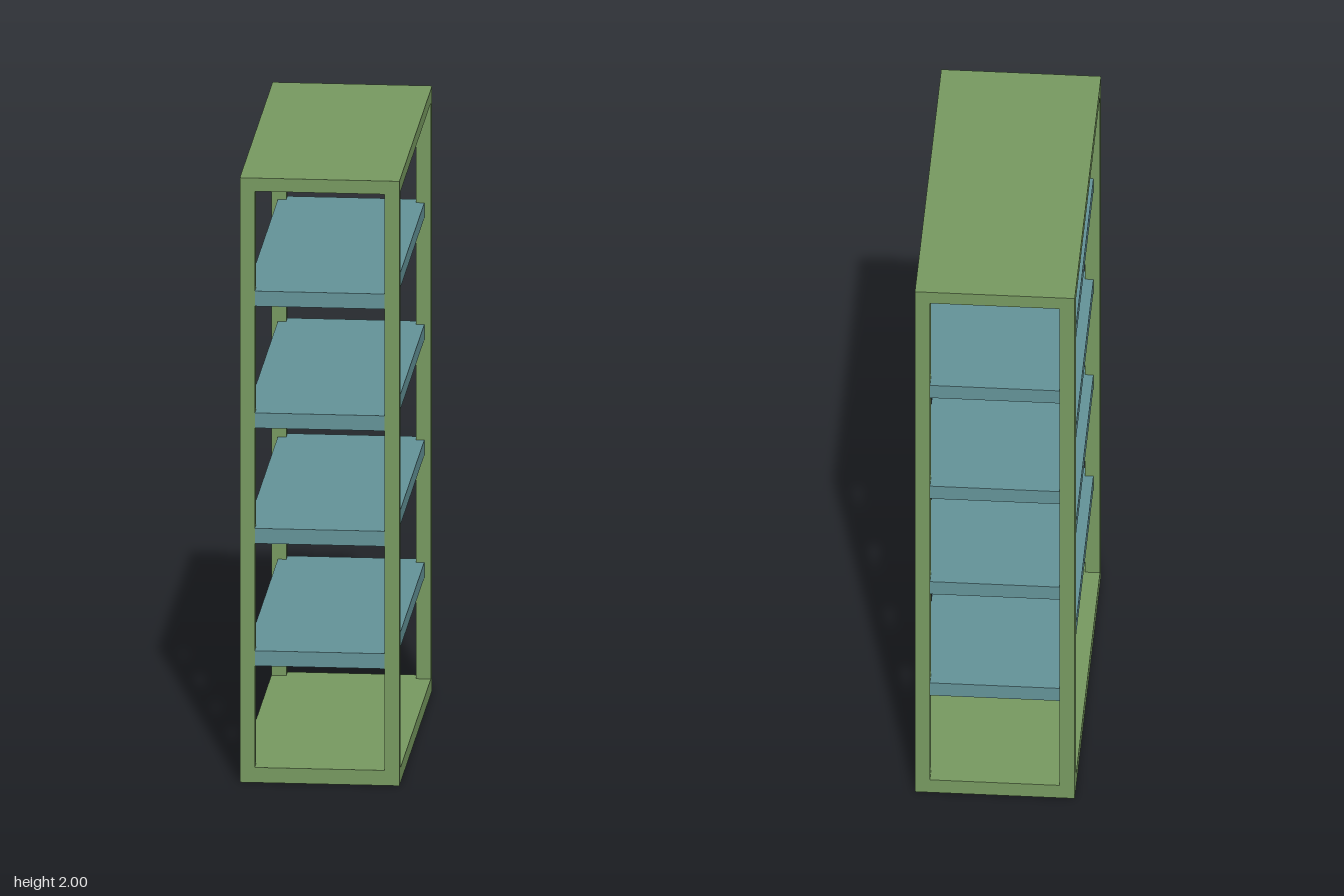
import * as THREE from 'three';

const HALF_X = 0.256, HALF_Z = 0.592, HEIGHT = 2, BAR = 0.048;

export function createModel() {
  const group = new THREE.Group();
  const green = new THREE.MeshStandardMaterial({ color: 0x76985f });
  const teal = new THREE.MeshStandardMaterial({ color: 0x639297 });

  const box = (name, material, w, h, d, x, y, z) => {
    const mesh = new THREE.Mesh(new THREE.BoxGeometry(w, h, d), material);
    mesh.name = name;
    mesh.position.set(x, y, z);
    group.add(mesh);
  };

  // Solid base and top panels
  box('basePanel', green, HALF_X * 2, 0.05, HALF_Z * 2, 0, 0.025, 0);
  box('topPanel', green, HALF_X * 2, 0.044, HALF_Z * 2, 0, HEIGHT - 0.022, 0);

  // Square corner posts between the panels
  const postHeight = HEIGHT - 0.094;
  for (const sx of [-1, 1]) {
    for (const sz of [-1, 1]) {
      box('cornerPost', green, BAR, postHeight, BAR,
        sx * (HALF_X - BAR / 2), 0.05 + postHeight / 2, sz * (HALF_Z - BAR / 2));
    }
  }

  // Shelves let into the posts, nearly flush at the front and back
  for (const y of [0.41, 0.815, 1.197, 1.6]) {
    box('shelf', teal, 0.47, 0.05, 1.176, 0, y, 0);
  }

  return group;
}
